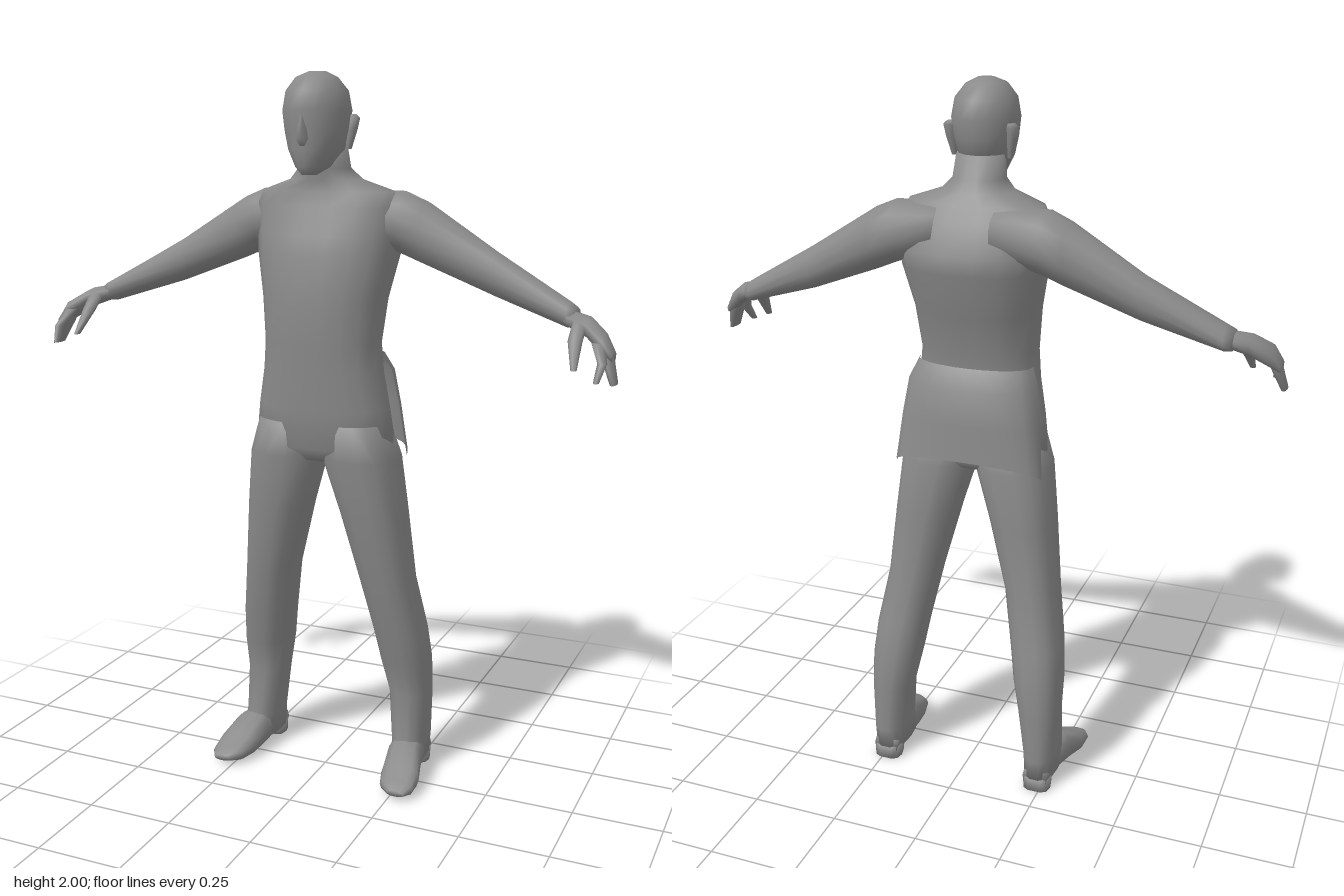
import * as THREE from 'three';

const grey = new THREE.MeshStandardMaterial({ color: 0x8a8a8a, side: THREE.DoubleSide });
grey.name = 'grey';

// Closed loft along an axis; each row is [position, a0, a1, b0, b1],
// the extents of a rounded section on the other two axes.
function loft(name, axis, rows, n = 14, power = 2.2) {
  const pos = [], idx = [];
  const put = (p, a, b) =>
    axis === 'y' ? pos.push(a, p, b) : axis === 'x' ? pos.push(p, a, b) : pos.push(a, b, p);
  const soft = v => Math.sign(v) * Math.abs(v) ** (2 / power);
  for (const [p, a0, a1, b0, b1] of rows) {
    for (let i = 0; i < n; i++) {
      const t = (i / n) * Math.PI * 2;
      put(p, (a0 + a1) / 2 + ((a1 - a0) / 2) * soft(Math.cos(t)),
        (b0 + b1) / 2 + ((b1 - b0) / 2) * soft(Math.sin(t)));
    }
  }
  for (let r = 0; r < rows.length - 1; r++) {
    for (let i = 0; i < n; i++) {
      const a = r * n + i, b = r * n + (i + 1) % n;
      idx.push(a, a + n, b, b, a + n, b + n);
    }
  }
  // End caps
  [0, rows.length - 1].forEach((r, k) => {
    const [p, a0, a1, b0, b1] = rows[r];
    const c = pos.length / 3;
    put(p, (a0 + a1) / 2, (b0 + b1) / 2);
    for (let i = 0; i < n; i++) {
      const u = r * n + i, v = r * n + (i + 1) % n;
      k ? idx.push(c, v, u) : idx.push(c, u, v);
    }
  });
  // Turn the faces outward when the signed volume is negative
  const at = i => new THREE.Vector3().fromArray(pos, i * 3);
  let volume = 0;
  for (let i = 0; i < idx.length; i += 3)
    volume += at(idx[i]).dot(at(idx[i + 1]).cross(at(idx[i + 2])));
  if (volume < 0) idx.reverse();
  return finish(name, pos, idx);
}

function finish(name, pos, idx) {
  const g = new THREE.BufferGeometry();
  g.setAttribute('position', new THREE.Float32BufferAttribute(pos, 3));
  g.setIndex(idx);
  g.computeVertexNormals();
  const mesh = new THREE.Mesh(g, grey);
  mesh.name = name;
  return mesh;
}

// Flared open panel behind the hips
function jacketTail() {
  const rows = [[1.25, 0.165, -0.02, -0.1, 0], [1.2, 0.185, -0.04, -0.145, 0],
    [1.1, 0.2, -0.06, -0.152, 0], [1, 0.215, -0.085, -0.16, 0.05]];
  const n = 12, pos = [], idx = [];
  for (const [y, hw, zSide, zBack, dip] of rows) {
    for (let i = 0; i <= n; i++) {
      const t = (i / n) * 2 - 1;
      const s = Math.sin(t * Math.PI / 2), c = Math.cos(t * Math.PI / 2);
      pos.push(hw * s, y - dip * t * t, zSide + (zBack - zSide) * c ** 0.8);
    }
  }
  for (let r = 0; r < rows.length - 1; r++) {
    for (let i = 0; i < n; i++) {
      const a = r * (n + 1) + i, b = a + n + 1;
      idx.push(a, a + 1, b, a + 1, b + 1, b);
    }
  }
  return finish('jacketTail', pos, idx);
}

// Rows for a part symmetric in x: [y, halfWidth, zBack, zFront]
const centred = rows => rows.map(([y, w, z0, z1]) => [y, -w, w, z0, z1]);

export function createModel() {
  const model = new THREE.Group();
  model.name = 'standingFigure';

  // Torso, shoulders and neck
  model.add(loft('torso', 'y', centred([
    [0.95, 0.1, -0.08, 0.07], [0.99, 0.205, -0.115, 0.107], [1.1, 0.19, -0.105, 0.115],
    [1.2, 0.172, -0.1, 0.12], [1.28, 0.165, -0.1, 0.125], [1.4, 0.175, -0.135, 0.13],
    [1.52, 0.2, -0.17, 0.115], [1.57, 0.205, -0.173, 0.1], [1.65, 0.21, -0.135, 0.075],
    [1.69, 0.19, -0.105, 0.062], [1.72, 0.1, -0.085, 0.065], [1.75, 0.07, -0.065, 0.07],
    [1.81, 0.065, -0.045, 0.075],
  ]), 18, 2.3));
  model.add(jacketTail());

  // Head and nose
  model.add(loft('head', 'y', centred([
    [1.735, 0.02, 0.085, 0.125], [1.755, 0.045, 0.02, 0.14], [1.8, 0.072, -0.035, 0.15],
    [1.85, 0.085, -0.046, 0.15], [1.9, 0.09, -0.055, 0.158], [1.95, 0.081, -0.045, 0.15],
    [1.985, 0.054, -0.01, 0.12], [2, 0.022, 0.025, 0.075],
  ]), 16, 2));
  model.add(loft('nose', 'y', centred([
    [1.89, 0.006, 0.13, 0.156], [1.83, 0.016, 0.12, 0.178], [1.81, 0.01, 0.12, 0.156],
  ]), 6, 2));

  for (const s of [1, -1]) {
    const side = new THREE.Group();
    side.name = s > 0 ? 'leftSide' : 'rightSide';
    model.add(side);
    // Flip section extents in x for vertical and depth lofts, or positions for sideways ones
    const part = (name, axis, rows, n, power) => side.add(loft(name, axis, rows.map(
      ([p, a0, a1, b0, b1]) => axis === 'x' ? [s * p, a0, a1, b0, b1] : [p, s * a0, s * a1, b0, b1]
    ), n, power));

    part('ear', 'y', [
      [1.8, 0.07, 0.086, 0.015, 0.03], [1.85, 0.07, 0.1, 0.0, 0.035],
      [1.88, 0.07, 0.106, -0.005, 0.03], [1.89, 0.07, 0.095, 0.0, 0.025],
    ], 8, 2);

    // Sleeve
    part('arm', 'x', [
      [0.08, 1.56, 1.69, -0.15, 0.03], [0.21, 1.52, 1.69, -0.152, 0.03],
      [0.27, 1.495, 1.665, -0.138, 0.015], [0.47, 1.42, 1.54, -0.1, -0.005],
      [0.68, 1.355, 1.42, -0.07, 0.035], [0.7, 1.355, 1.408, -0.055, 0.035],
    ], 14, 2.1);

    // Hand with grouped fingers, forefinger and thumb
    part('palm', 'x', [
      [0.67, 1.365, 1.405, -0.045, 0.03], [0.74, 1.338, 1.392, -0.025, 0.065],
      [0.79, 1.3, 1.358, 0.015, 0.1], [0.815, 1.285, 1.315, 0.035, 0.1],
    ], 10, 2.2);
    part('fingers', 'y', [
      [1.335, 0.77, 0.802, 0.025, 0.09], [1.29, 0.789, 0.819, 0.04, 0.105],
      [1.235, 0.815, 0.832, 0.06, 0.115],
    ], 8, 2.2);
    part('forefinger', 'y', [
      [1.335, 0.76, 0.795, 0.06, 0.1], [1.29, 0.785, 0.81, 0.095, 0.135],
      [1.245, 0.783, 0.798, 0.135, 0.157],
    ], 8, 2);
    part('thumb', 'y', [
      [1.38, 0.7, 0.74, 0.005, 0.055], [1.335, 0.7, 0.738, 0.06, 0.1],
      [1.27, 0.722, 0.738, 0.12, 0.142],
    ], 8, 2);

    // Trouser leg
    part('leg', 'y', [
      [1.06, 0.01, 0.185, -0.095, 0.105], [0.96, 0.003, 0.217, -0.12, 0.107],
      [0.8, 0.052, 0.235, -0.124, 0.085], [0.6, 0.105, 0.255, -0.13, 0.055],
      [0.44, 0.135, 0.282, -0.16, 0.015], [0.34, 0.152, 0.29, -0.18, -0.005],
      [0.24, 0.172, 0.29, -0.182, -0.033], [0.1, 0.188, 0.288, -0.182, -0.01],
      [0.035, 0.19, 0.284, -0.18, 0],
    ], 14, 2.4);

    // Shoe and heel
    part('shoe', 'z', [
      [-0.17, 0.2, 0.275, 0.015, 0.07], [-0.08, 0.195, 0.285, 0.015, 0.11],
      [-0.01, 0.195, 0.3, 0.006, 0.112], [0.06, 0.203, 0.318, 0.004, 0.072],
      [0.11, 0.218, 0.318, 0.008, 0.048], [0.14, 0.25, 0.3, 0.016, 0.033],
    ], 12, 2.6);
    part('heel', 'y', [
      [0, 0.198, 0.278, -0.178, -0.11], [0.04, 0.196, 0.28, -0.18, -0.1],
    ], 10, 3);
  }
  return model;
}
